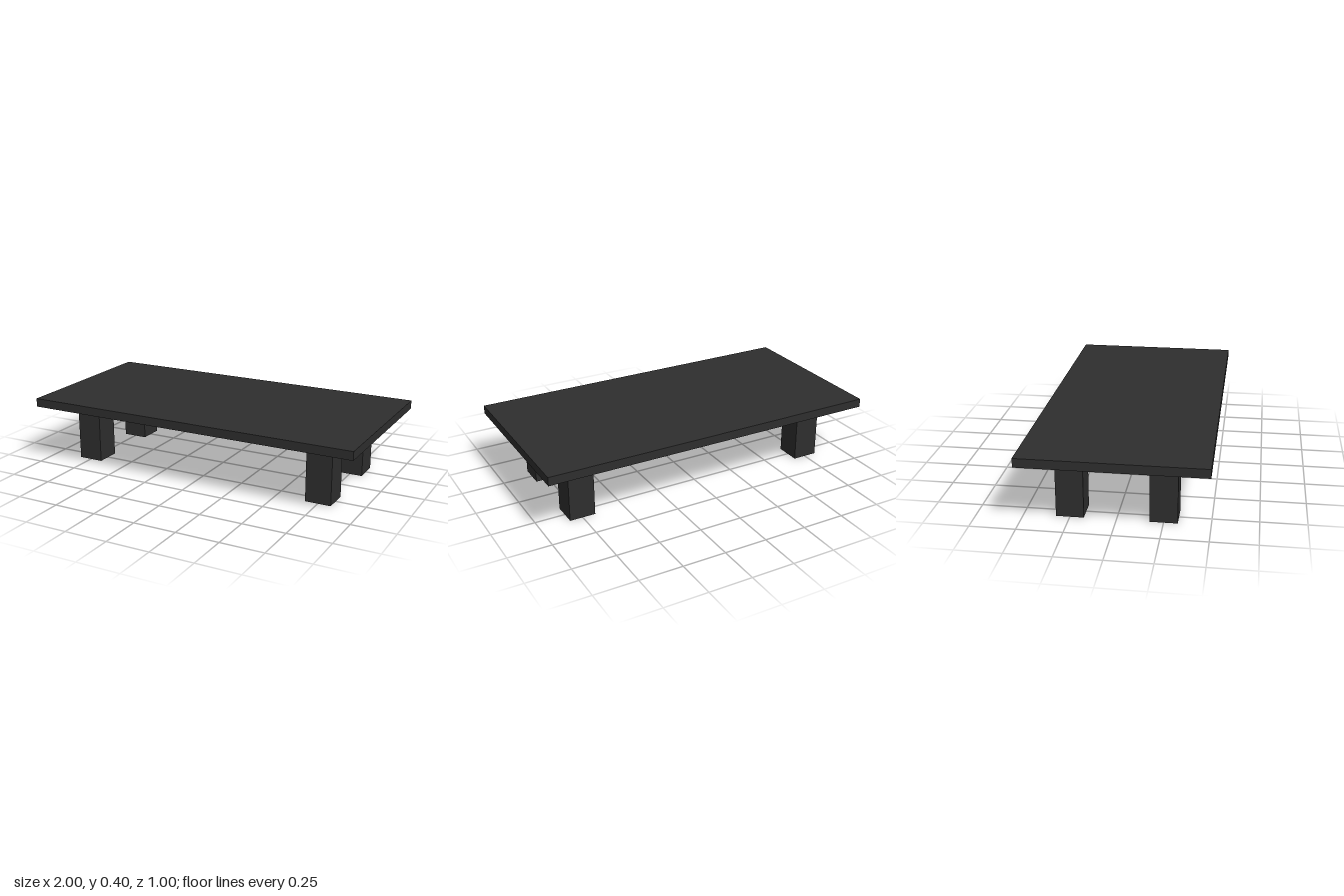
import * as THREE from 'three';

export function createModel() {
  const model = new THREE.Group();
  model.name = 'lowTable';
  const material = new THREE.MeshStandardMaterial({ color: 0x2e2e2e });

  const topThickness = 0.05;
  const legHeight = 0.35;
  const legWidth = 0.15;

  // Flat rectangular table top
  const top = new THREE.Mesh(new THREE.BoxGeometry(2, topThickness, 1), material);
  top.name = 'tableTop';
  top.position.y = legHeight + topThickness / 2;
  model.add(top);

  // Four square legs, set in from the corners
  const legGeometry = new THREE.BoxGeometry(legWidth, legHeight, legWidth);
  for (const [sx, side] of [[1, 'Left'], [-1, 'Right']]) {
    for (const [sz, end] of [[1, 'front'], [-1, 'back']]) {
      const leg = new THREE.Mesh(legGeometry, material);
      leg.name = `${end}${side}Leg`;
      leg.position.set(sx * 0.75, legHeight / 2, sz * 0.25);
      model.add(leg);
    }
  }

  return model;
}
